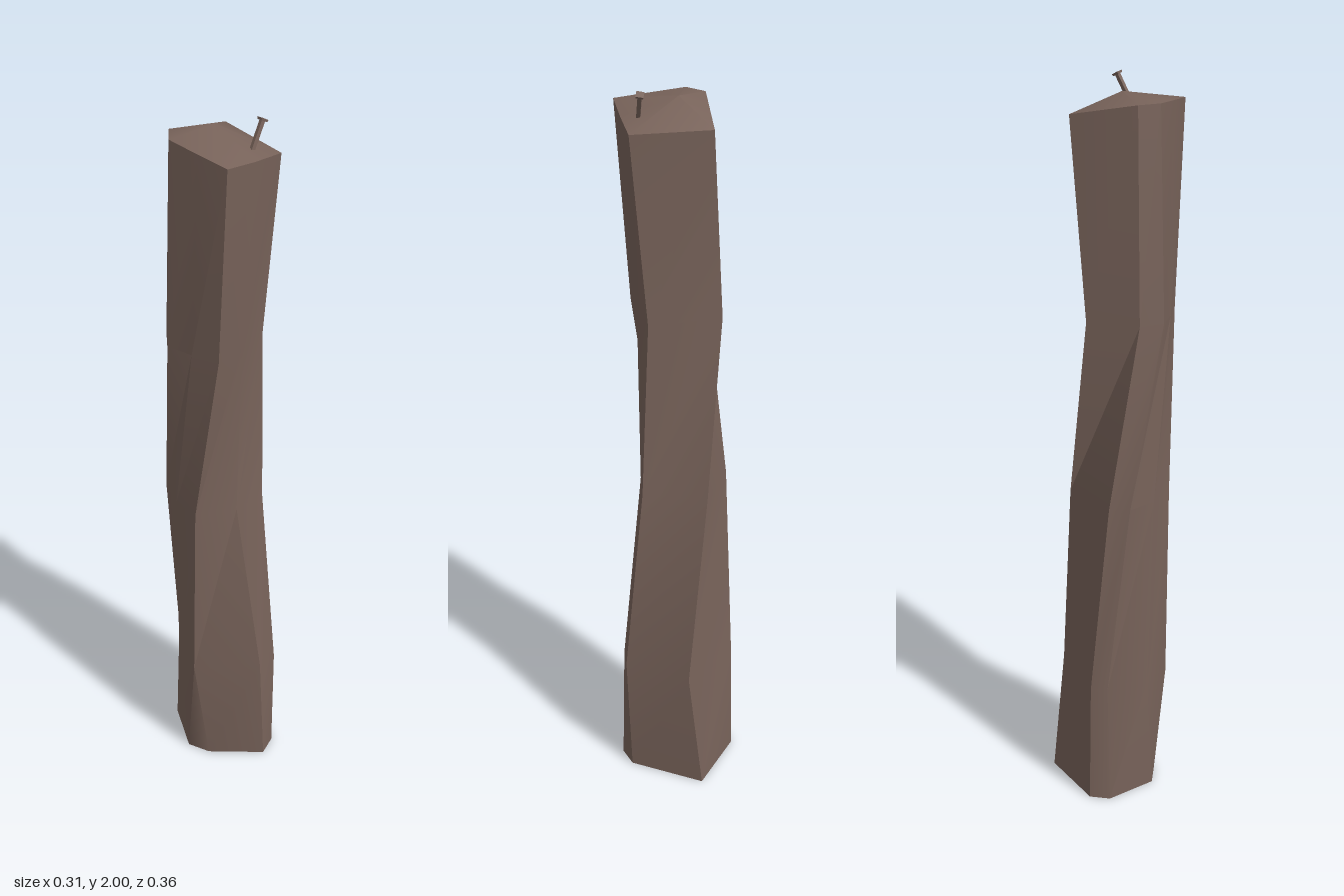
import * as THREE from 'three';
import { toCreasedNormals } from 'three/addons/utils/BufferGeometryUtils.js';

// Cross-sections [x, z] counterclockwise from the front corner, bottom to top
const levels = [0, 0.35, 0.9, 1.4];
const sections = [
  [[-0.02, 0.105], [0.138, 0.07], [0.15, 0.01], [0.043, -0.18], [-0.138, -0.095], [-0.155, -0.04], [-0.085, 0.09]],
  [[-0.055, 0.13], [0.125, 0.075], [0.155, 0.025], [0.065, -0.145], [-0.135, -0.09], [-0.145, -0.045], [-0.115, 0.07]],
  [[-0.045, 0.135], [0.055, 0.08], [0.108, 0.003], [-0.01, -0.128], [-0.148, -0.04], [-0.157, 0.015], [-0.11, 0.085]],
  [[0.025, 0.155], [0.065, 0.075], [0.098, -0.015], [-0.085, -0.09], [-0.14, 0.04], [-0.12, 0.105], [-0.05, 0.133]],
  [[0.052, 0.179], [0.097, 0.09], [0.14, 0], [-0.025, -0.122], [-0.125, 0.035], [-0.109, 0.093], [-0.03, 0.136]],
];
// The sawn top edge is uneven
const rimHeights = [1.937, 1.92, 1.907, 1.917, 1.955, 1.955, 1.946];

function surface(points, faces, crease) {
  const g = new THREE.BufferGeometry();
  g.setAttribute('position', new THREE.Float32BufferAttribute(points.flat(), 3));
  g.setIndex(faces);
  return toCreasedNormals(g, crease);
}

export function createModel() {
  const group = new THREE.Group();
  const wood = new THREE.MeshStandardMaterial({ color: 0x78635a, side: THREE.DoubleSide });
  wood.name = 'weathered wood';

  const add = (geometry, name, parent = group) => {
    const mesh = new THREE.Mesh(geometry, wood);
    mesh.name = name;
    parent.add(mesh);
    return mesh;
  };

  // Twisted post, open at the bottom
  const n = 7;
  const rings = sections.map((s, k) => s.map(([x, z], i) => [x, k < 4 ? levels[k] : rimHeights[i], z]));
  const faces = [];
  for (let k = 0; k < 4; k++) {
    for (let i = 0; i < n; i++) {
      const a = k * n + i, b = k * n + (i + 1) % n;
      faces.push(a, b, b + n, a, b + n, a + n);
    }
  }
  add(surface(rings.flat(), faces, 0.6), 'post');

  // Slightly domed top
  const capFaces = [];
  for (let i = 0; i < n; i++) capFaces.push(i, (i + 1) % n, n);
  add(surface([...rings[4], [-0.02, 1.97, 0.01]], capFaces, 0.6), 'postTop');

  // Bent-over nail near the right edge
  const nail = new THREE.Group();
  nail.name = 'nail';
  const base = new THREE.Vector3(0.078, 1.925, 0.043);
  const tip = new THREE.Vector3(0.096, 1.992, 0.012);
  const dir = tip.clone().sub(base);
  const length = dir.length();
  nail.position.copy(base);
  nail.quaternion.setFromUnitVectors(new THREE.Vector3(0, 1, 0), dir.normalize());
  add(new THREE.CylinderGeometry(0.007, 0.007, length, 4).toNonIndexed(), 'nailShaft', nail).position.y = length / 2;
  add(new THREE.CylinderGeometry(0.014, 0.012, 0.006, 4).toNonIndexed(), 'nailHead', nail).position.y = length;
  nail.children.forEach((m) => m.geometry.computeVertexNormals());
  group.add(nail);

  return group;
}
